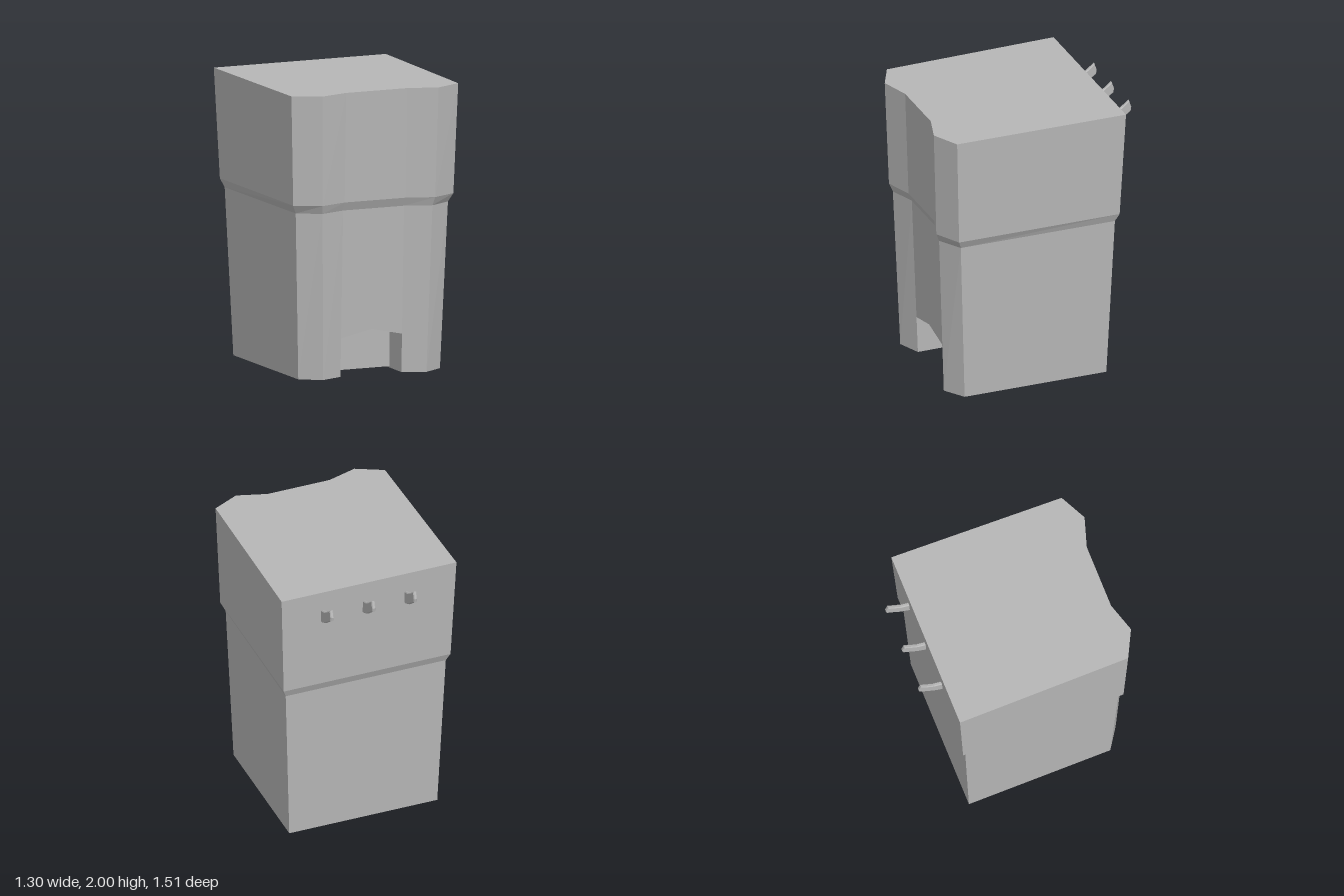
import * as THREE from 'three';

const grey = new THREE.MeshStandardMaterial({ color: 0xb6b6b6 });
grey.name = 'grey plastic';

const NOTCH = 0.23; // half width of the front panel and the notch

// Horizontal outline, starting at the front corner on -x and running along the front
function ring({ y, corner, cornerZ, peak, peakZ, midZ, back, backZ }) {
  return [
    [-corner, cornerZ], [-peak, peakZ], [-NOTCH, midZ], [NOTCH, midZ],
    [peak, peakZ], [corner, cornerZ], [back, backZ], [-back, backZ],
  ].map(([x, z]) => new THREE.Vector3(x, y, z));
}

const levels = [
  { y: 0, corner: 0.535, cornerZ: 0.565, peak: 0.39, peakZ: 0.66, midZ: 0.595, back: 0.55, backZ: -0.485 },
  { y: 1.17, corner: 0.575, cornerZ: 0.61, peak: 0.415, peakZ: 0.705, midZ: 0.64, back: 0.595, backZ: -0.53 },
  { y: 1.23, corner: 0.605, cornerZ: 0.635, peak: 0.425, peakZ: 0.73, midZ: 0.665, back: 0.62, backZ: -0.555 },
  { y: 2, corner: 0.63, cornerZ: 0.66, peak: 0.44, peakZ: 0.755, midZ: 0.69, back: 0.65, backZ: -0.59 },
];

// Mesh with flat faces from a list of convex polygons, each counter-clockwise from outside
function facetedMesh(name, polygons) {
  const points = [];
  for (const p of polygons) {
    for (let i = 1; i < p.length - 1; i++) points.push(p[0], p[i], p[i + 1]);
  }
  const geometry = new THREE.BufferGeometry().setFromPoints(points);
  geometry.computeVertexNormals();
  const mesh = new THREE.Mesh(geometry, grey);
  mesh.name = name;
  return mesh;
}

// Triangles filling a horizontal outline, facing up or down
function cap(outline, up) {
  const flat = outline.map((p) => new THREE.Vector2(p.x, -p.z));
  return THREE.ShapeUtils.triangulateShape(flat, []).map((t) => {
    const tri = t.map((i) => outline[i]);
    return up ? tri : tri.reverse();
  });
}

export function createModel() {
  const model = new THREE.Group();
  model.name = 'bin';
  const v = (x, y, z) => new THREE.Vector3(x, y, z);
  const rings = levels.map(ring);
  const [foot, waist] = rings;

  // Walls, leaving the lower front panel open for the notch
  const walls = [];
  for (let k = 0; k < rings.length - 1; k++) {
    for (let i = 0; i < 8; i++) {
      if (k === 0 && i === 2) continue;
      const j = (i + 1) % 8;
      walls.push([rings[k][i], rings[k][j], rings[k + 1][j], rings[k + 1][i]]);
    }
  }

  // Lower front panel above the peaked notch
  const slope = (levels[1].midZ - levels[0].midZ) / levels[1].y;
  const face = (x, y) => v(x, y, levels[0].midZ + slope * y);
  const left = face(NOTCH, 0.27), top = face(0, 0.32), right = face(-NOTCH, 0.27);
  walls.push([right, top, waist[2]], [top, waist[3], waist[2]], [top, left, waist[3]]);
  model.add(facetedMesh('walls', walls));
  model.add(facetedMesh('lid', cap(rings[3], true)));

  // Notch: side walls, peaked ceiling and inner wall
  const deep = 0.4, gap = 0.01;
  const inner = (p) => v(p.x, p.y, deep);
  const lowR = v(-NOTCH, gap, deep), lowL = v(NOTCH, gap, deep);
  const baseR = v(-NOTCH, 0, deep), baseL = v(NOTCH, 0, deep);
  model.add(facetedMesh('notch', [
    [foot[2], baseR, inner(right), right],
    [baseL, foot[3], left, inner(left)],
    [right, inner(right), inner(top), top],
    [top, inner(top), inner(left), left],
    [lowR, lowL, inner(left), inner(top), inner(right)],
  ]));

  // Underside with a shallow sloping channel running back from the notch
  const endR = v(-NOTCH, 0, -0.45), endL = v(NOTCH, 0, -0.45);
  const outline = [foot[0], foot[1], foot[2], endR, endL, ...foot.slice(3)];
  model.add(facetedMesh('underside', [
    ...cap(outline, false),
    [lowR, endR, endL, lowL],
    [baseR, endR, lowR],
    [baseL, lowL, endL],
  ]));

  // Three upturned hooks on the back
  const profile = [
    [0.55, 1.745], [0.59, 1.755], [0.65, 1.785], [0.70, 1.825], [0.75, 1.86],
    [0.755, 1.89], [0.738, 1.943], [0.69, 1.905], [0.64, 1.87], [0.55, 1.84],
  ].map(([x, y]) => new THREE.Vector2(x, y));
  const hookGeometry = new THREE.ExtrudeGeometry(new THREE.Shape(profile), {
    depth: 0.014, bevelThickness: 0.006, bevelSize: 0.006, bevelOffset: -0.006, bevelSegments: 1,
  });
  hookGeometry.translate(0, 0, -0.007).rotateY(Math.PI / 2);
  for (const x of [-0.28, 0.03, 0.34]) {
    const hook = new THREE.Mesh(hookGeometry, grey);
    hook.name = 'hook';
    hook.position.x = x;
    model.add(hook);
  }
  return model;
}
